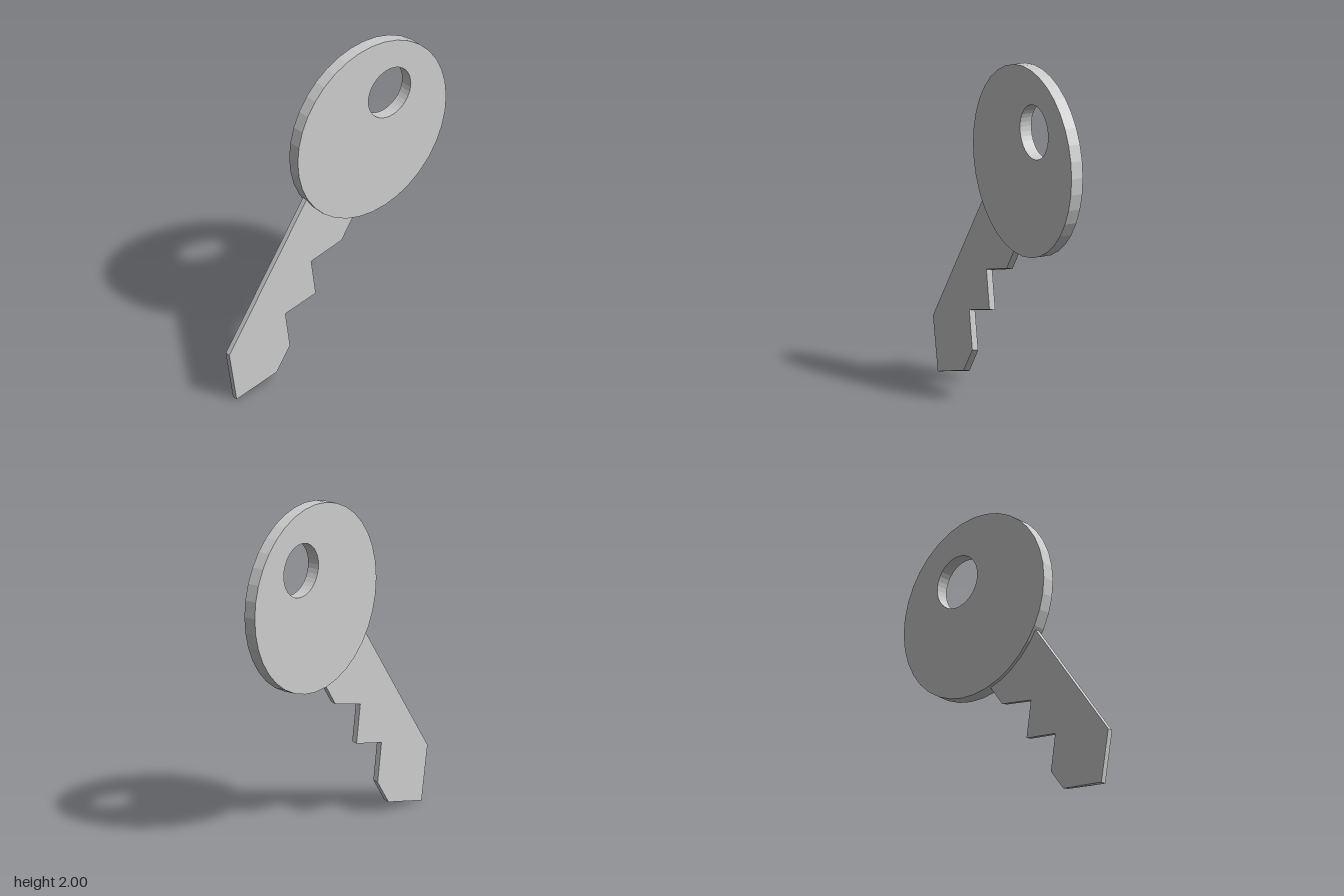
import * as THREE from 'three';

const material = new THREE.MeshStandardMaterial({ color: 0xcccccc, flatShading: true, side: THREE.DoubleSide });

// Extrude a profile drawn in (-z, y) symmetrically about x = 0
function plate(shape, thickness, name) {
  const geometry = new THREE.ExtrudeGeometry(shape, { depth: thickness, bevelEnabled: false, curveSegments: 18 });
  geometry.translate(0, 0, -thickness / 2);
  geometry.rotateY(Math.PI / 2);
  const mesh = new THREE.Mesh(geometry, material);
  mesh.name = name;
  return mesh;
}

export function createModel() {
  const key = new THREE.Group();
  key.name = 'key';

  // Round bow with an off-centre ring hole
  const disc = new THREE.Shape().absarc(0.248, 1.44, 0.561, 0, Math.PI * 2);
  disc.holes.push(new THREE.Path().absarc(0.381, 1.635, 0.16, 0, Math.PI * 2, true));
  key.add(plate(disc, 0.076, 'bow'));

  // Blade outline as [z, y]: spine, tip, then the teeth back up into the bow
  const outline = [
    [0.15, 1.25], [0.81, 0.325], [0.755, 0.005], [0.455, 0.07], [0.355, 0.21], [0.39, 0.44],
    [0.16, 0.485], [0.195, 0.715], [-0.035, 0.765], [-0.2, 1.0],
  ];
  const blade = plate(new THREE.Shape(outline.map(([z, y]) => new THREE.Vector2(-z, y))), 0.036, 'blade');

  // Slant the cut edges and thin the spine slightly
  const p = blade.geometry.attributes.position;
  for (let i = 0; i < p.count; i++) {
    const x = p.getX(i), y = p.getY(i), z = p.getZ(i);
    const spine = z > 0.7 || y > 1.1;
    if (x > 0 && spine) p.setX(i, 0.014);
    if (x < 0 && !spine) p.setXYZ(i, x, y - 0.007, z - 0.005);
  }
  blade.geometry.computeVertexNormals();
  key.add(blade);

  return key;
}
